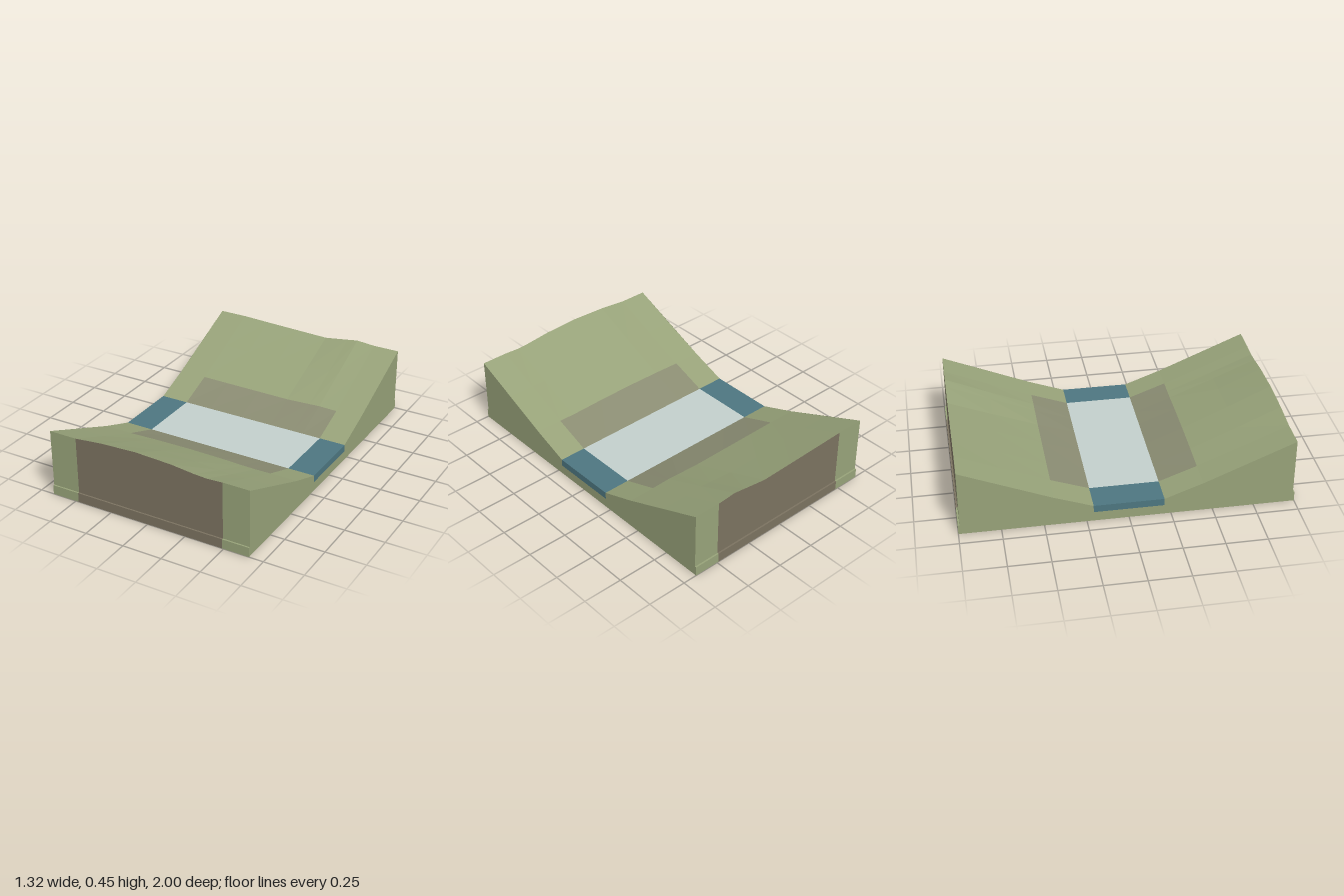
import * as THREE from 'three';

const W = 0.66, WALL = 0.99, FOOT = 0.44, SHORE = 0.21, LEVEL = 0.105, LIP = 0.06;
const mat = (color, extra = {}) => new THREE.MeshStandardMaterial({ color, ...extra });
const GREEN = mat(0x97a279, { flatShading: true, side: THREE.DoubleSide });
const EARTH = mat(0x7b7260, { flatShading: true, side: THREE.DoubleSide });
const SHOAL = mat(0x8a8c72, { flatShading: true, side: THREE.DoubleSide });
const DEEP = mat(0x4d7680);
const PALE = mat(0xc2cfcc);

function add(parent, name, geometry, material) {
  const mesh = new THREE.Mesh(geometry, material);
  mesh.name = name;
  parent.add(mesh);
  return mesh;
}

// Surface through rows of points; columns run +x, rows run upward or toward -z
function sheet(rows) {
  const n = rows[0].length, index = [];
  for (let r = 0; r < rows.length - 1; r++) {
    for (let c = 0; c < n - 1; c++) {
      const a = r * n + c, b = a + 1, d = a + n, e = d + 1;
      index.push(a, b, e, a, e, d);
    }
  }
  const g = new THREE.BufferGeometry();
  g.setAttribute('position', new THREE.Float32BufferAttribute(rows.flat(2), 3));
  g.setIndex(index);
  g.computeVertexNormals();
  return g;
}

// One sloping bank facing +z; crest is a list of [x, height] along its outer edge
function bank(name, crest, xa, xb) {
  const g = new THREE.Group();
  g.name = name;
  const spans = [[-W, xa], [xa, xb], [xb, W]];
  const sections = spans.map(([l, r]) => crest.filter(([x]) => x >= l && x <= r));
  const row = (pts, z, y, share) => pts.map(([x, h]) => [x, y + (h - 0.42) * share, z]);

  sections.forEach((pts, i) => {
    const middle = i === 1;
    const outer = row(pts, WALL, 0.42, 1);
    const foot = row(pts, FOOT, 0.19, 0.3);
    const shore = row(pts, SHORE, LEVEL, 0);
    add(g, 'slope', sheet([outer, row(pts, 0.72, 0.305, 0.65), foot]), GREEN);
    add(g, middle ? 'shoal' : 'shore', sheet([foot, shore]), middle ? SHOAL : GREEN);
    add(g, 'endWall', sheet([pts.map(([x]) => [x, 0, WALL]), outer]), middle ? EARTH : GREEN);

    // Low lip along the foot of the end wall
    const [l, r] = spans[i];
    const lip = add(g, 'lip', new THREE.BoxGeometry(r - l, LIP, 1 - WALL), middle ? EARTH : GREEN);
    lip.position.set((l + r) / 2, LIP / 2, (1 + WALL) / 2);
  });
  return g;
}

export function createModel() {
  const model = new THREE.Group();
  model.name = 'riverValley';

  // Banks: the front one humps, the back one dips and has a small knoll
  const frontCrest = [[-W, 0.42], [-0.48, 0.42], [-0.3, 0.438], [-0.07, 0.447], [0.16, 0.437],
    [0.31, 0.42], [0.39, 0.415], [0.49, 0.42], [W, 0.42]];
  const backCrest = [[-W, 0.42], [-0.48, 0.42], [-0.3, 0.413], [-0.07, 0.405], [0.14, 0.398],
    [0.3, 0.42], [0.37, 0.43], [0.49, 0.42], [W, 0.42]];
  model.add(bank('frontBank', frontCrest, -0.48, 0.49));
  const back = bank('backBank', backCrest.map(([x, h]) => [-x, h]).reverse(), -0.49, 0.48);
  back.rotation.y = Math.PI;
  model.add(back);

  // Side walls with a notch for the river
  const outline = [[-WALL, 0], [WALL, 0], [WALL, 0.42], [FOOT, 0.19], [SHORE, LEVEL], [SHORE, LIP],
    [-SHORE, LIP], [-SHORE, LEVEL], [-FOOT, 0.19], [-WALL, 0.42]];
  const wall = new THREE.ShapeGeometry(new THREE.Shape(outline.map(p => new THREE.Vector2(...p))));
  for (const s of [1, -1]) {
    const side = add(model, s > 0 ? 'leftSide' : 'rightSide', wall, GREEN);
    side.rotation.y = s * Math.PI / 2;
    side.position.x = s * W;
  }

  // River: deep water at both ends, pale water between
  for (const [name, l, r, m] of [['deepWater', -W, -0.48, DEEP], ['paleWater', -0.48, 0.49, PALE],
    ['deepWater', 0.49, W, DEEP]]) {
    const water = add(model, name, new THREE.BoxGeometry(r - l, LEVEL - LIP, 2 * SHORE), m);
    water.position.set((l + r) / 2, (LEVEL + LIP) / 2, 0);
  }

  // Underside
  const base = add(model, 'underside', new THREE.PlaneGeometry(2 * W, 2 * WALL), EARTH);
  base.rotation.x = Math.PI / 2;
  return model;
}
